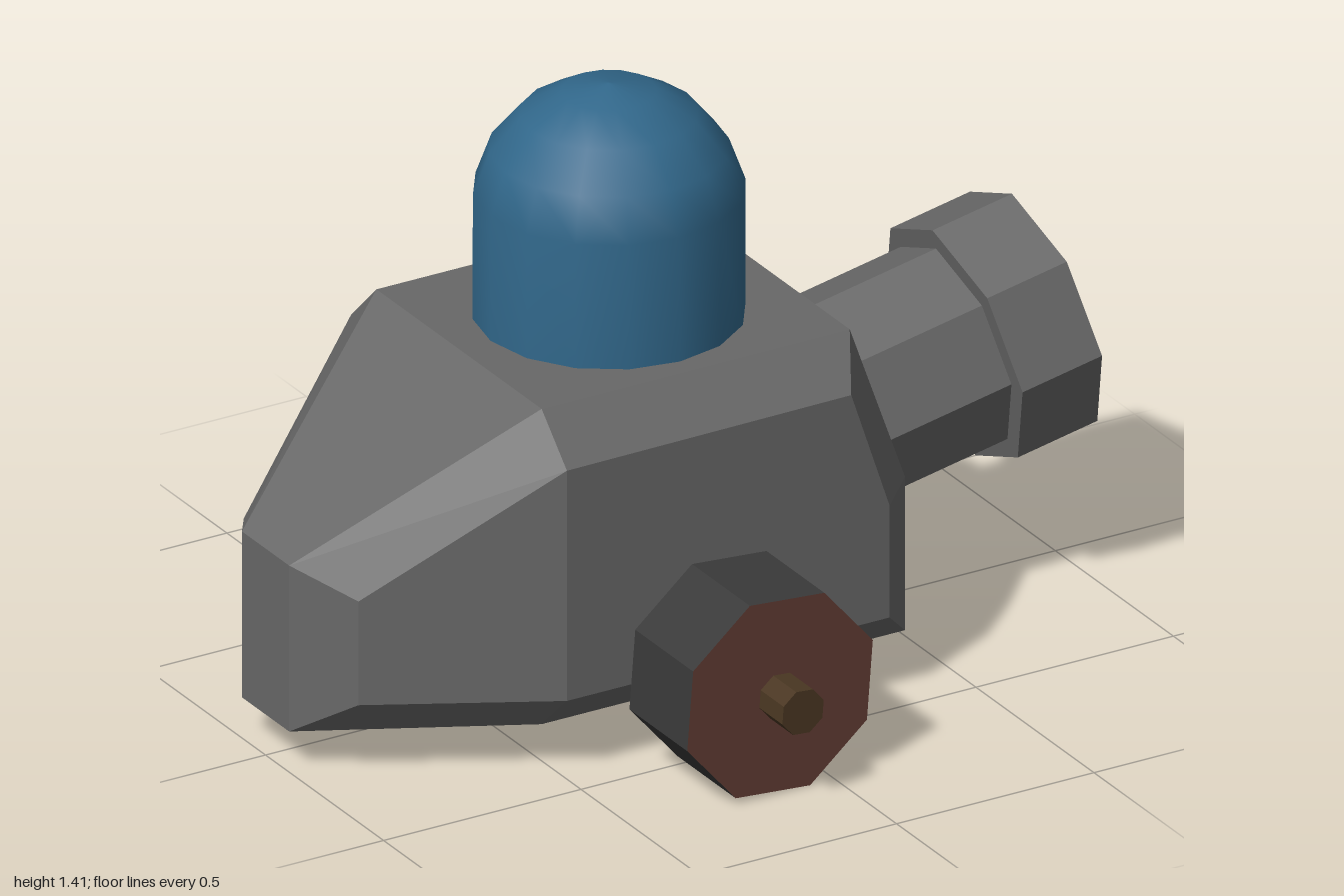
import * as THREE from 'three';
import { ConvexGeometry } from 'three/addons/geometries/ConvexGeometry.js';

const material = (name, color) => {
  const m = new THREE.MeshStandardMaterial({ color });
  m.name = name;
  return m;
};

// Faceted normals for the low-poly parts
function flat(geometry) {
  const g = geometry.toNonIndexed();
  g.computeVertexNormals();
  return g;
}

export function createModel() {
  const hullGrey = material('hull grey', 0x686868);
  const darkGrey = material('dark grey', 0x3a3a3a);
  const hubBrown = material('hub red brown', 0x613c33);
  const axleBrown = material('axle brown', 0x4a3722);
  const domeBlue = material('dome blue', 0x31678a);

  const model = new THREE.Group();
  const add = (parent, name, geometry, mat) => {
    const mesh = new THREE.Mesh(geometry, mat);
    mesh.name = name;
    parent.add(mesh);
    return mesh;
  };

  // Hull: inner and outer side outlines [x, y, half width], bevelled between
  const outline = [
    [-1, 0.1, 0.1], [-1, 0.5, 0.1], [-0.51, 0.86, 0.35], [0.27, 0.86, 0.35],
    [0.41, 0.47, 0.35], [0.41, 0.1, 0.35], [-0.51, 0.1, 0.35],
    [-0.91, 0.2, 0.243], [-0.91, 0.45, 0.243], [-0.51, 0.755, 0.457], [0.21, 0.76, 0.457],
    [0.307, 0.47, 0.457], [0.307, 0.2, 0.457], [-0.51, 0.2, 0.457],
  ];
  const corners = [];
  for (const [x, y, z] of outline) {
    for (const side of [-1, 1]) corners.push(new THREE.Vector3(x, y, side * z));
  }
  add(model, 'hull', new ConvexGeometry(corners), hullGrey);

  // Dome: straight wall with a rounded cap
  const wall = [new THREE.Vector2(0.3, 0.84)];
  for (let deg = 10; deg <= 90; deg += 20) {
    const a = THREE.MathUtils.degToRad(deg);
    wall.push(new THREE.Vector2(Math.max(0, 0.304 * Math.cos(a)), 1.105 + 0.304 * Math.sin(a)));
  }
  wall[wall.length - 1].x = 0;
  add(model, 'dome', new THREE.LatheGeometry(wall, 16), domeBlue).position.x = -0.13;

  // Cannon: origin at the muzzle opening, pointing along local +x
  const cannon = new THREE.Group();
  cannon.name = 'cannon';
  cannon.position.set(0.945, 0.605, 0);
  cannon.rotation.z = 0.19;
  model.add(cannon);
  const turned = (points) => flat(new THREE.LatheGeometry(
    points.map(([r, y]) => new THREE.Vector2(r, y)), 8).rotateZ(-Math.PI / 2));
  add(cannon, 'barrel', turned([[0.243, -0.72], [0.243, -0.19]]), hullGrey);
  add(cannon, 'muzzle', turned([[0.2, -0.205], [0.29, -0.205], [0.29, 0], [0.255, 0], [0.178, -0.02]]), hullGrey);
  add(cannon, 'bore', turned([[0.178, -0.02], [0.178, -0.4], [0, -0.4]]), darkGrey);

  // Axle and the two wheels
  const axleX = -0.138, axleY = 0.237;
  const rod = (radius, length) => flat(new THREE.CylinderGeometry(radius, radius, length, 8)
    .rotateX(Math.PI / 2).rotateZ(THREE.MathUtils.degToRad(18)));
  add(model, 'axle', rod(0.055, 1.67), axleBrown).position.set(axleX, axleY, 0);
  for (const side of [-1, 1]) {
    const wheel = add(model, side > 0 ? 'frontWheel' : 'backWheel', rod(0.247, 0.245),
      [darkGrey, hubBrown, hubBrown]);
    wheel.position.set(axleX, axleY, side * 0.615);
  }
  return model;
}
